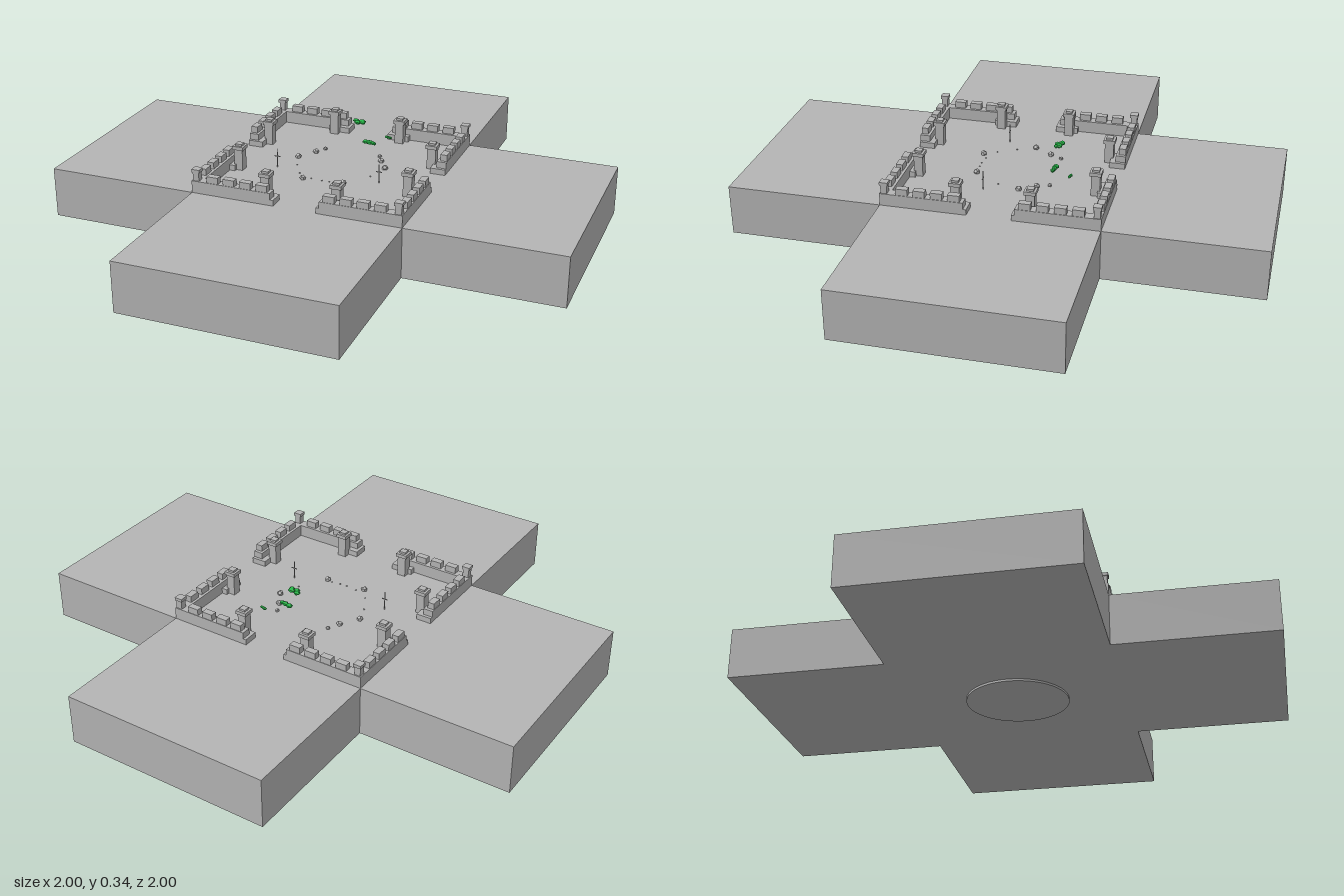
import * as THREE from 'three';

const stone = new THREE.MeshStandardMaterial({ color: 0xb4b4b4 });
stone.name = 'grey stone';
const leaf = new THREE.MeshStandardMaterial({ color: 0x22b545 });
leaf.name = 'leaf green';

const GROUND = 0.203, EDGE = 0.408;

function add(parent, name, geometry, material, x, y, z) {
  const mesh = new THREE.Mesh(geometry, material);
  mesh.name = name;
  mesh.position.set(x, y, z);
  parent.add(mesh);
  return mesh;
}

// Box given by its lower and upper corner
function box(parent, name, x0, x1, y0, y1, z0, z1) {
  return add(parent, name, new THREE.BoxGeometry(x1 - x0, y1 - y0, z1 - z0), stone,
    (x0 + x1) / 2, (y0 + y1) / 2, (z0 + z1) / 2);
}

// One straight wall from the gate to the corner; sx and sz mirror it, swap turns it along z
function wallHalf(parent, sx, sz, swap) {
  const group = new THREE.Group();
  group.name = 'wall';
  const part = (name, a0, a1, y0, y1, b0, b1) => {
    const [x0, x1, z0, z1] = swap ? [b0, b1, a0, a1] : [a0, a1, b0, b1];
    box(group, name, Math.min(sx * x0, sx * x1), Math.max(sx * x0, sx * x1), y0, y1,
      Math.min(sz * z0, sz * z1), Math.max(sz * z0, sz * z1));
  };
  part('wallBody', 0.095, swap ? 0.37 : EDGE, GROUND, 0.25, 0.37, EDGE);
  part('gateStep', 0.083, 0.17, GROUND, 0.225, 0.348, EDGE);
  for (const a of [0.13, 0.195, 0.26, 0.325]) {
    part('merlon', a - 0.022, a + 0.022, 0.25, 0.275, 0.38, 0.406);
  }
  // Gate tower with a wider cap and a small raised top
  part('towerBody', 0.122, 0.156, GROUND, 0.285, 0.322, 0.356);
  part('towerCap', 0.117, 0.161, 0.285, 0.299, 0.317, 0.361);
  part('towerTop', 0.126, 0.152, 0.299, 0.307, 0.326, 0.352);
  parent.add(group);
}

// Leafy clump made of small flattened low-poly blobs
function foliage(parent, name, x, y, z, blobs) {
  const group = new THREE.Group();
  group.name = name;
  group.position.set(x, y, z);
  for (const [bx, by, bz, w, h, d] of blobs) {
    add(group, 'leafBlob', new THREE.IcosahedronGeometry(1, 0), leaf, bx, by, bz).scale.set(w, h, d);
  }
  parent.add(group);
}

export function createModel() {
  const model = new THREE.Group();
  model.name = 'crossCourtyard';

  // Cross-shaped base slab
  const e = EDGE;
  const cross = new THREE.Shape([
    [-e, -1], [e, -1], [e, -e], [1, -e], [1, e], [e, e],
    [e, 1], [-e, 1], [-e, e], [-1, e], [-1, -e], [-e, -e],
  ].map(([x, y]) => new THREE.Vector2(x, y)));
  const slab = new THREE.ExtrudeGeometry(cross, { depth: GROUND - 0.008, bevelEnabled: false });
  slab.rotateX(-Math.PI / 2);
  add(model, 'baseSlab', slab, stone, 0, 0.008, 0);

  // Round foot under the slab
  add(model, 'roundFoot', new THREE.CylinderGeometry(0.195, 0.195, 0.009, 48), stone, 0, 0.0045, 0);

  // Four walled corners
  for (const sx of [-1, 1]) {
    for (const sz of [-1, 1]) {
      const corner = new THREE.Group();
      corner.name = 'walledCorner';
      wallHalf(corner, sx, sz, false);
      wallHalf(corner, sx, sz, true);
      const c = 0.392;
      add(corner, 'cornerPost', new THREE.BoxGeometry(0.024, 0.035, 0.024), stone, sx * c, 0.2675, sz * c);
      add(corner, 'cornerCap', new THREE.BoxGeometry(0.031, 0.012, 0.031), stone, sx * c, 0.289, sz * c);
      model.add(corner);
    }
  }

  // Ring of boulders
  const boulders = [
    [-0.175, -0.04], [-0.13, -0.11], [-0.108, -0.155], [0.118, -0.16],
    [0.14, -0.115], [0.177, -0.055], [0.08, 0.132], [-0.078, 0.146],
  ];
  boulders.forEach(([x, z], i) => {
    const r = i === 2 || i === 3 ? 0.008 : 0.012;
    add(model, 'boulder', new THREE.DodecahedronGeometry(r), stone, x, GROUND + r * 0.5, z).rotation.y = i;
  });

  // Scattered pebbles
  const pebbles = [[-0.11, 0.1], [-0.15, 0.03], [-0.05, 0.13], [-0.005, 0.135], [0.025, 0.135], [0.06, 0.13], [0.15, 0.03]];
  for (const [x, z] of pebbles) {
    add(model, 'pebble', new THREE.IcosahedronGeometry(0.003, 0), stone, x, GROUND + 0.001, z);
  }

  // Thin posts with a crossbar
  for (const x of [-0.213, 0.2]) {
    add(model, 'thinPost', new THREE.CylinderGeometry(0.0018, 0.0018, 0.075, 6), stone, x, GROUND + 0.0375, 0.075);
    add(model, 'crossbar', new THREE.BoxGeometry(0.024, 0.003, 0.003), stone, x, GROUND + 0.045, 0.075);
  }

  // Green clumps
  foliage(model, 'upperFoliage', 0.025, 0.333, -0.175, [
    [-0.015, 0, -0.008, 0.014, 0.008, 0.012], [0.012, 0.001, -0.003, 0.016, 0.009, 0.012],
    [-0.003, -0.001, 0.008, 0.014, 0.008, 0.012], [0.018, 0, 0.008, 0.012, 0.007, 0.01],
  ]);
  foliage(model, 'lowerFoliage', 0.07, 0.255, -0.167, [
    [-0.015, 0, -0.003, 0.014, 0.009, 0.012], [0.004, 0.001, 0, 0.015, 0.01, 0.011],
    [0.02, 0, 0.003, 0.012, 0.008, 0.009],
  ]);
  foliage(model, 'smallFoliage', 0.125, 0.258, -0.238, [
    [-0.006, 0, -0.002, 0.011, 0.006, 0.006], [0.006, 0, 0.002, 0.011, 0.005, 0.006],
  ]);

  return model;
}
